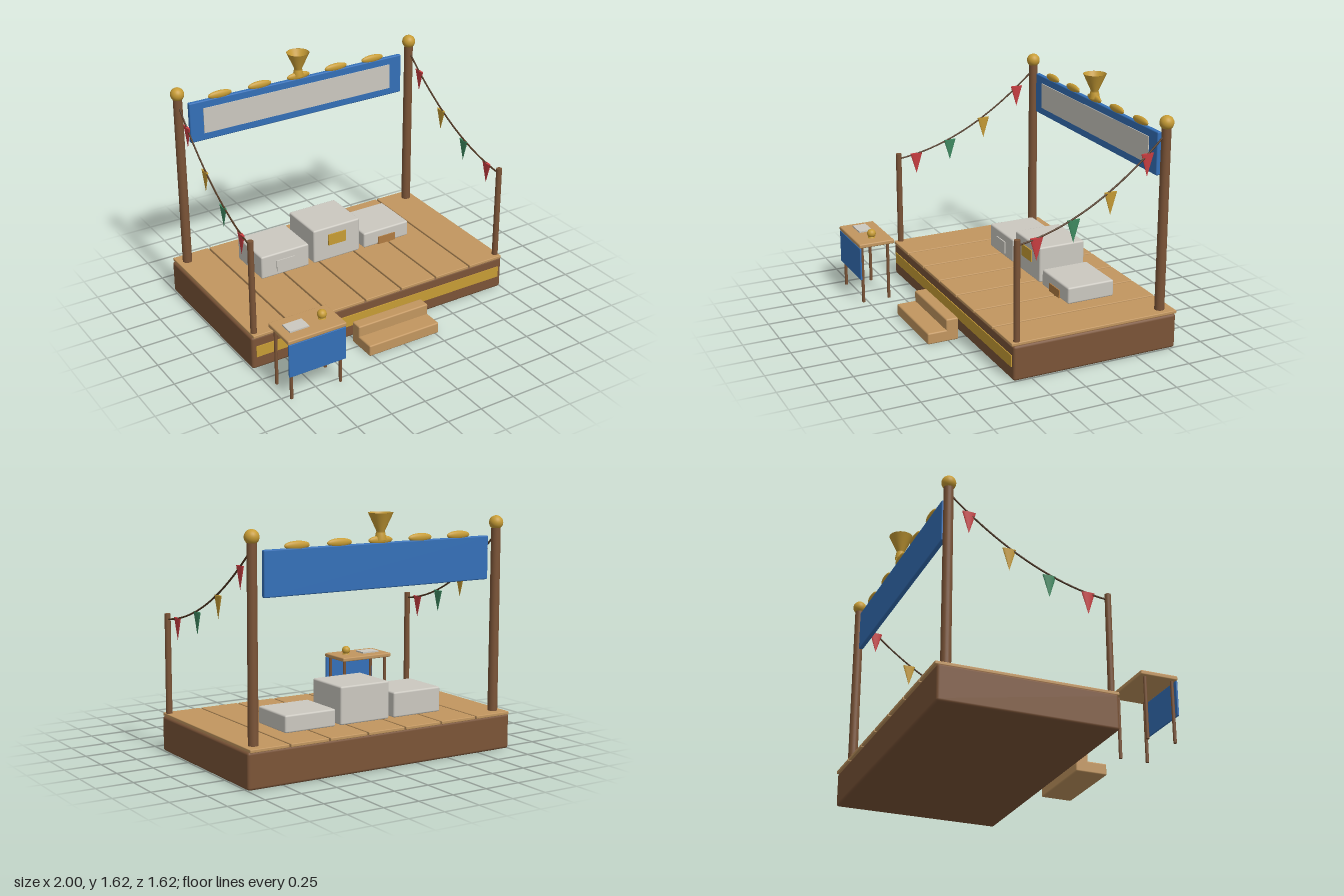
import * as THREE from 'three';
import { RoundedBoxGeometry } from 'three/addons/geometries/RoundedBoxGeometry.js';

const material = (name, color, extra = {}) => {
  const m = new THREE.MeshStandardMaterial({ color, ...extra });
  m.name = name;
  return m;
};

export function createModel() {
  const root = new THREE.Group();
  root.name = 'awardStage';

  const wood = material('brown wood', 0x7b5437);
  const plankWood = material('light wood', 0xc2965f);
  const blue = material('blue cloth', 0x3470b8);
  const gold = material('gold', 0xc79c35, { side: THREE.DoubleSide });
  const stone = material('pale grey', 0xcbc8c0);
  const bronze = material('bronze', 0xb07c42);
  const cord = material('dark cord', 0x503722);
  const red = material('red', 0xcb3f42);
  const green = material('green', 0x3f8c62);

  const add = (name, geometry, mat, x, y, z, parent = root) => {
    const mesh = new THREE.Mesh(geometry, mat);
    mesh.name = name;
    mesh.position.set(x, y, z);
    parent.add(mesh);
    return mesh;
  };
  // Box given by its extents; r rounds the edges
  const box = (name, mat, [x0, x1], [y0, y1], [z0, z1], r = 0, parent = root) => {
    const size = [x1 - x0, y1 - y0, z1 - z0];
    const geo = r ? new RoundedBoxGeometry(...size, 2, r) : new THREE.BoxGeometry(...size);
    return add(name, geo, mat, (x0 + x1) / 2, (y0 + y1) / 2, (z0 + z1) / 2, parent);
  };
  const group = (name) => {
    const g = new THREE.Group();
    g.name = name;
    root.add(g);
    return g;
  };

  // Platform with seven floor planks and a gold front band
  box('platformBase', wood, [-1, 1], [0, 0.238], [-0.8, 0.375], 0.018);
  box('frontBand', gold, [-0.97, 0.97], [0.09, 0.17], [0.374, 0.381]);
  const planks = group('planks');
  for (let i = 0; i < 7; i++) {
    const x = (i - 3) * 0.2845;
    box('plank', plankWood, [x - 0.136, x + 0.136], [0.235, 0.257], [-0.81, 0.384], 0.005, planks);
  }

  // Two front steps
  const steps = group('steps');
  box('lowerStep', plankWood, [-0.275, 0.275], [0, 0.08], [0.428, 0.648], 0.01, steps);
  box('upperStep', plankWood, [-0.275, 0.275], [0, 0.156], [0.428, 0.515], 0.01, steps);

  // Podium blocks with a plate each
  const podium = group('podium');
  [[-0.413, 0.425, stone], [0, 0.508, gold], [0.413, 0.37, bronze]].forEach(([x, top, mat]) => {
    box('podiumBlock', stone, [x - 0.187, x + 0.187], [0.255, top], [-0.56, -0.217], 0.012, podium);
    box('podiumPlate', mat, [x - 0.071, x + 0.071], [top - 0.14 * 0.4, top - 0.14], [-0.218, -0.209], 0, podium)
      .geometry = new THREE.BoxGeometry(0.142, 0.084, 0.009);
  });

  // Posts and bunting, mirrored on both sides
  const flagSpecs = [[0.205, 0.915, red], [-0.055, 0.987, green], [-0.32, 1.125, gold], [-0.585, 1.335, red]];
  for (const s of [-1, 1]) {
    const side = group(s < 0 ? 'rightPostsAndBunting' : 'leftPostsAndBunting');
    add('backPost', new THREE.CylinderGeometry(0.031, 0.033, 1.25, 20), wood, s * 0.92, 0.87, -0.72, side);
    add('postBall', new THREE.SphereGeometry(0.047, 24, 16), gold, s * 0.92, 1.52, -0.72, side);
    add('frontPost', new THREE.CylinderGeometry(0.02, 0.021, 0.68, 16), wood, s * 0.966, 0.588, 0.34, side);
    const rope = new THREE.QuadraticBezierCurve3(
      new THREE.Vector3(s * 0.966, 0.89, 0.34),
      new THREE.Vector3(s * 0.943, 0.95, -0.19),
      new THREE.Vector3(s * 0.92, 1.45, -0.72));
    add('rope', new THREE.TubeGeometry(rope, 24, 0.006, 8), cord, 0, 0, 0, side);
    for (const [z, top, mat] of flagSpecs) {
      const x = s * (0.966 - 0.046 * (0.34 - z) / 1.06);
      const flag = add('flag', new THREE.ConeGeometry(0.046, 0.15, 16), mat, x, top - 0.073, z, side);
      flag.rotation.x = Math.PI;
      flag.scale.x = 0.2;
    }
  }

  // Sign board with pale panel and gold ornaments along the top
  const sign = group('sign');
  box('signBoard', blue, [-0.845, 0.845], [1.15, 1.438], [-0.736, -0.704], 0.008, sign);
  box('signPanel', stone, [-0.745, 0.745], [1.203, 1.385], [-0.706, -0.699], 0, sign);
  for (let i = -2; i <= 2; i++) {
    add('signOrnament', new THREE.SphereGeometry(1, 24, 16), gold, i * 0.304, 1.453, -0.72, sign)
      .scale.set(0.09, 0.028, 0.02);
  }

  // Open trophy cup on the sign
  const cup = [[0.034, 0], [0.038, 0.003], [0.03, 0.045], [0.026, 0.056], [0.08, 0.173], [0.077, 0.173], [0.024, 0.065], [0, 0.062]]
    .map(([r, y]) => new THREE.Vector2(r, y));
  add('trophyCup', new THREE.LatheGeometry(cup, 32), gold, 0, 1.452, -0.72, sign);

  // Side table with front cloth, card and bell
  const table = group('table');
  box('tableTop', plankWood, [-0.972, -0.55], [0.415, 0.445], [0.55, 0.808], 0.008, table);
  for (const x of [-0.942, -0.583]) {
    for (const z of [0.59, 0.78]) {
      add('tableLeg', new THREE.CylinderGeometry(0.011, 0.011, 0.418, 12), wood, x, 0.209, z, table);
    }
  }
  box('tableCloth', blue, [-0.968, -0.555], [0.177, 0.413], [0.794, 0.806], 0.003, table);
  box('card', stone, [-0.914, -0.775], [0.445, 0.455], [0.63, 0.727], 0, table);
  add('bellFoot', new THREE.CylinderGeometry(0.02, 0.026, 0.014, 20), gold, -0.656, 0.452, 0.68, table);
  add('bell', new THREE.SphereGeometry(0.031, 20, 14), gold, -0.656, 0.476, 0.68, table);

  return root;
}
